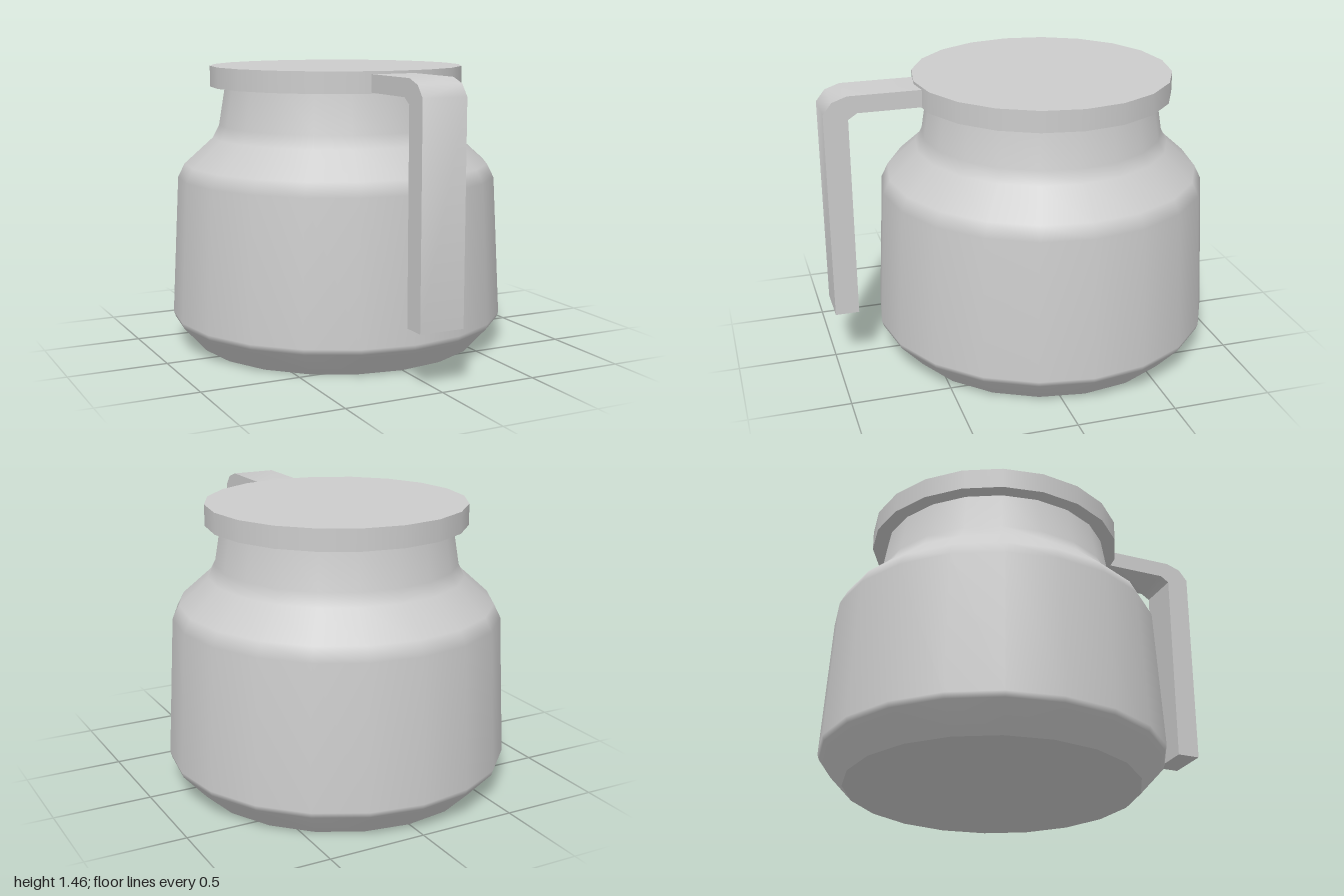
import * as THREE from 'three';
import { toCreasedNormals } from 'three/addons/utils/BufferGeometryUtils.js';

const SIDES = 20;
const AXIS_Z = -0.127; // jar axis, set back to balance the handle

export function createModel() {
  const group = new THREE.Group();
  const material = new THREE.MeshStandardMaterial({ color: 0xcccccc });
  const add = (name, geometry, y = 0, z = 0) => {
    const mesh = new THREE.Mesh(geometry, material);
    mesh.name = name;
    mesh.position.set(0, y, z);
    group.add(mesh);
  };
  const points = (list) => list.map(([a, b]) => new THREE.Vector2(a, b));

  // Turned body: bevelled foot, tapered wall, shoulder and neck
  const profile = points([
    [0.745, 0], [0.865, 0.132], [0.874, 0.16], [0.835, 0.88],
    [0.8, 0.95], [0.65, 1.085], [0.617, 1.15], [0.582, 1.36],
  ]);
  add('body', new THREE.LatheGeometry(profile, SIDES), 0, AXIS_Z);

  // Flat underside, its corners lined up with the body
  const base = new THREE.CircleGeometry(0.745, SIDES);
  base.rotateX(Math.PI / 2);
  add('base', base, 0, AXIS_Z);

  // Lid overhanging the neck
  add('lid', new THREE.CylinderGeometry(0.66, 0.66, 0.107, SIDES), 1.4035, AXIS_Z);

  // Bent strap handle hanging from the lid, side outline as (z, y)
  const outline = new THREE.Shape(points([
    [0.45, 1.355], [0.835, 1.355], [0.88, 1.325], [0.88, 0.29], [1, 0.29],
    [1, 1.36], [0.955, 1.417], [0.88, 1.443], [0.45, 1.443],
  ]));
  const strap = new THREE.ExtrudeGeometry(outline, { depth: 0.23, bevelEnabled: false });
  strap.rotateY(-Math.PI / 2);
  strap.translate(0.108, 0, 0);
  add('handle', toCreasedNormals(strap, Math.PI / 4));

  return group;
}
